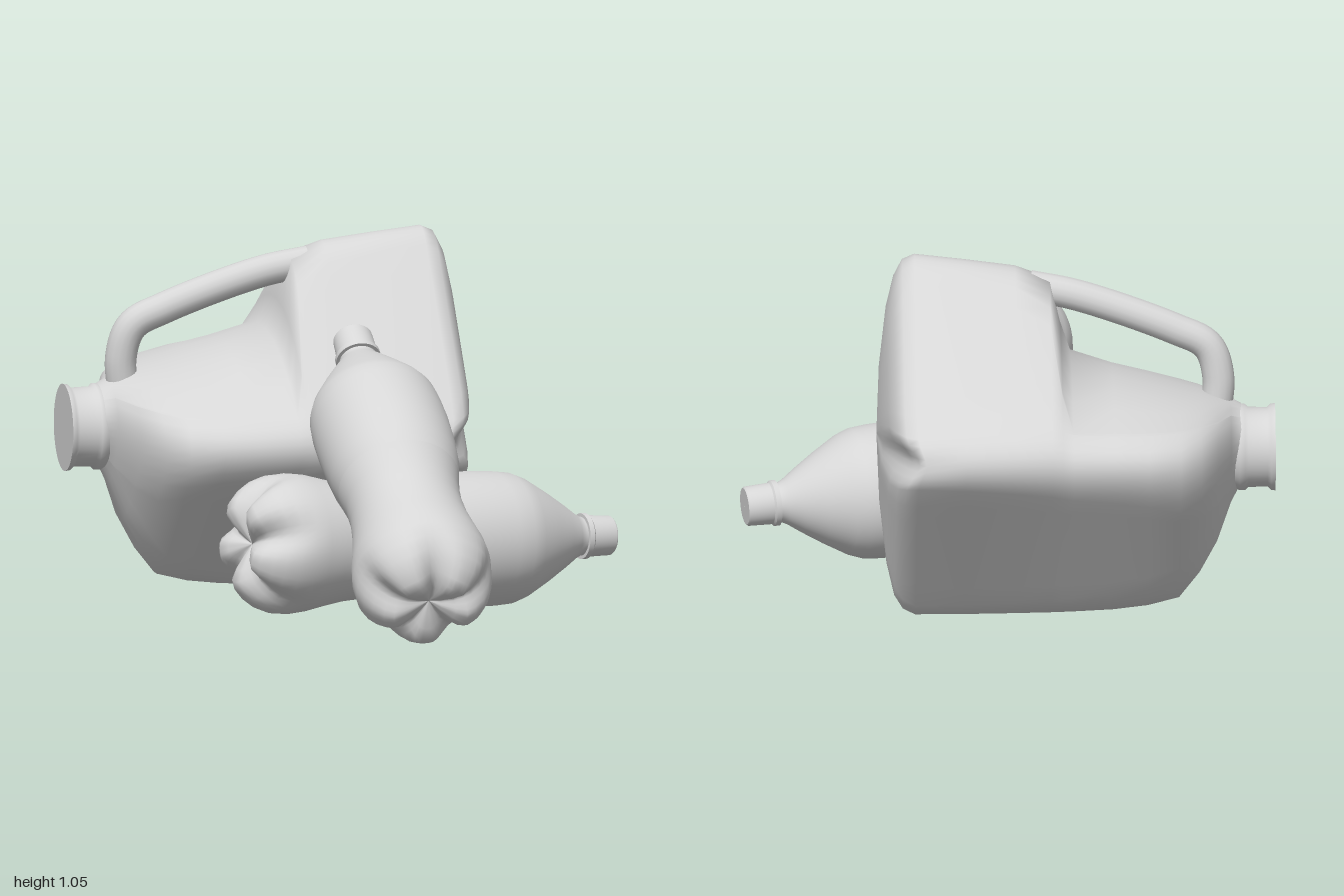
import * as THREE from 'three';

const plastic = new THREE.MeshStandardMaterial({ color: 0xd6d6d6 });
plastic.name = 'pale grey plastic';

const V = (x, y, z) => new THREE.Vector3(x, y, z);

// Skin over a list of closed rings; a repeated ring gives a sharp edge
function loft(name, rings) {
  const n = rings[0].length;
  const pos = rings.flat().flatMap((p) => [p.x, p.y, p.z]);
  const index = [];
  for (let i = 0; i < rings.length - 1; i++) {
    for (let j = 0; j < n; j++) {
      const a = i * n + j;
      const b = i * n + ((j + 1) % n);
      index.push(a, b, a + n, b, b + n, a + n);
    }
  }
  const geo = new THREE.BufferGeometry();
  geo.setAttribute('position', new THREE.Float32BufferAttribute(pos, 3));
  geo.setIndex(index);
  geo.computeVertexNormals();
  const mesh = new THREE.Mesh(geo, plastic);
  mesh.name = name;
  return mesh;
}

// Bottle profile: distance from the foot, radius
const bodyProfile = [
  [0.05, 0.001], [0.03, 0.035], [0.01, 0.075], [0, 0.11], [0.012, 0.138], [0.04, 0.167], [0.07, 0.187],
  [0.11, 0.201], [0.16, 0.204], [0.21, 0.197], [0.27, 0.183], [0.33, 0.171], [0.4, 0.164], [0.46, 0.166],
  [0.52, 0.177], [0.52, 0.177], [0.57, 0.187], [0.64, 0.193], [0.74, 0.196], [0.82, 0.194], [0.87, 0.189],
  [0.91, 0.174], [0.98, 0.133], [1.04, 0.094], [1.08, 0.066], [1.1, 0.056], [1.13, 0.056],
];
const capProfile = [
  [1.105, 0.05], [1.105, 0.066], [1.105, 0.066], [1.12, 0.066], [1.12, 0.066], [1.125, 0.06],
  [1.125, 0.06], [1.195, 0.057], [1.2, 0.053], [1.2, 0.053], [1.2, 0.001],
];

// Bottle swept along a path of [z, y] points, with a five-lobed foot
function makeBottle(name, path, grooveDepth, turn) {
  const curve = new THREE.CatmullRomCurve3(path.map(([z, y]) => V(0, y, z)));
  const length = 1.2;
  const sides = 60;
  const N = V(1, 0, 0);
  const ring = ([s, r]) => {
    const pts = [];
    const fade = Math.max(0, 1 - s / 0.18);
    for (let j = 0; j < sides; j++) {
      const a = (j / sides) * Math.PI * 2;
      const groove = fade * Math.pow(0.5 + 0.5 * Math.cos(5 * (a + turn)), 2);
      const rimmed = Math.min(1, r / 0.11);
      const t = Math.min(1, (s + groove * 0.045 * rimmed) / length);
      const T = curve.getTangentAt(t);
      const B = T.clone().cross(N);
      const rad = r * (1 - grooveDepth * groove * rimmed);
      pts.push(curve.getPointAt(t).addScaledVector(N, rad * Math.cos(a)).addScaledVector(B, rad * Math.sin(a)));
    }
    return pts;
  };
  const g = new THREE.Group();
  g.name = name;
  g.add(loft('bottleBody', bodyProfile.map(ring)), loft('bottleCap', capProfile.map(ring)));
  return g;
}

// Jug cross-sections: x, corner rounding, top corner rounding, reach of top, front, bottom and back corners
const jugSections = [
  [-0.67, 0.5, 0.5, 0.08, 0.11, 0.15, 0.12],
  [-0.64, 0.5, 0.5, 0.095, 0.14, 0.21, 0.15],
  [-0.6, 0.42, 0.56, 0.11, 0.27, 0.32, 0.3],
  [-0.55, 0.36, 0.62, 0.125, 0.37, 0.41, 0.39],
  [-0.49, 0.3, 0.68, 0.14, 0.435, 0.485, 0.445],
  [-0.4, 0.25, 0.73, 0.165, 0.468, 0.508, 0.48],
  [-0.3, 0.22, 0.76, 0.19, 0.485, 0.52, 0.492],
  [-0.18, 0.2, 0.78, 0.23, 0.497, 0.526, 0.502],
  [-0.15, 0.19, 0.6, 0.32, 0.501, 0.527, 0.506],
  [-0.12, 0.18, 0.24, 0.45, 0.505, 0.528, 0.51],
  [-0.02, 0.16, 0.17, 0.487, 0.512, 0.53, 0.517],
  [0.13, 0.14, 0.14, 0.507, 0.523, 0.532, 0.525],
  [0.27, 0.13, 0.13, 0.523, 0.53, 0.532, 0.53],
  [0.305, 0.14, 0.14, 0.508, 0.515, 0.515, 0.515],
  [0.33, 0.16, 0.16, 0.46, 0.475, 0.475, 0.465],
  [0.352, 0.2, 0.2, 0.37, 0.37, 0.38, 0.37],
  [0.372, 0.25, 0.25, 0.2, 0.2, 0.2, 0.2],
  [0.38, 0.3, 0.3, 0.001, 0.001, 0.001, 0.001],
];

// Crumpled front and back corners of the jug's foot
function dent(p) {
  const crease = Math.exp(-((p.y / 0.05) ** 2));
  const outer = THREE.MathUtils.smoothstep(Math.abs(p.z), 0.1, 0.48);
  const near = THREE.MathUtils.smoothstep(p.x, 0.2, 0.33);
  p.x -= 0.045 * crease * outer * near;
  p.z *= 1 - 0.04 * crease * outer * near;
  return p;
}

// Diamond with rounded corners
function jugRing([x, f, fTop, top, front, bottom, back]) {
  const k = 1 / (1 - f / 2);
  const c = [V(x, top / (1 - fTop / 2), 0), V(x, 0, front * k), V(x, -bottom * k, 0), V(x, 0, -back * k)];
  const round = [fTop, f, f, f];
  const pts = [];
  for (let i = 0; i < 4; i++) {
    const n = (i + 1) % 4;
    const p = c[i].clone().lerp(c[(i + 3) % 4], round[i]);
    const q = c[i].clone().lerp(c[n], round[i]);
    pts.push(...new THREE.QuadraticBezierCurve3(p, c[i], q).getPoints(8));
    const end = c[n].clone().lerp(c[i], round[n]);
    for (let m = 1; m < 7; m++) pts.push(q.clone().lerp(end, m / 7));
  }
  return pts.map(dent);
}

function makeJug() {
  const jug = new THREE.Group();
  jug.name = 'jug';

  const body = loft('jugBody', jugSections.map(jugRing));
  body.position.set(0, 0.54, -0.465);
  body.rotation.x = 0.12;

  // Closed mouth with a lip at each end
  const mouth = [
    [0.64, 0.11], [0.665, 0.125], [0.68, 0.125], [0.69, 0.116], [0.745, 0.114], [0.755, 0.124],
    [0.768, 0.126], [0.768, 0.126], [0.768, 0.001],
  ];
  const neck = loft('jugMouth', mouth.map(([d, r]) => Array.from({ length: 40 }, (_, j) => {
    const a = (j / 40) * Math.PI * 2;
    return V(-d, 0.495 + r * Math.cos(a), -0.478 - r * Math.sin(a));
  })));

  // Grip along the top corner
  const grip = new THREE.CatmullRomCurve3([
    V(-0.595, 0.58, -0.46), V(-0.605, 0.7, -0.45), V(-0.575, 0.79, -0.44),
    V(-0.48, 0.84, -0.435), V(-0.2, 0.938, -0.42), V(-0.06, 0.965, -0.41),
  ]);
  const handle = new THREE.Mesh(new THREE.TubeGeometry(grip, 48, 0.046, 16), plastic);
  handle.name = 'jugHandle';

  jug.add(body, neck, handle);
  return jug;
}

export function createModel() {
  const model = new THREE.Group();
  model.name = 'plasticContainers';

  const leaning = makeBottle('leaningBottle', [
    [0.935, 0.125], [0.83, 0.21], [0.685, 0.315], [0.47, 0.465],
    [0.345, 0.53], [0.2, 0.6], [0.08, 0.675], [-0.085, 0.785],
  ], 0.12, Math.PI / 10);
  leaning.position.x = -0.005;

  const lying = makeBottle('lyingBottle', [[0, 0.24], [0.6, 0.214], [1.2, 0.19]], 0.16, 0.9);
  lying.position.set(-0.416, 0, 0.215);
  lying.rotation.y = 1.805;

  model.add(makeJug(), leaning, lying);
  return model;
}
